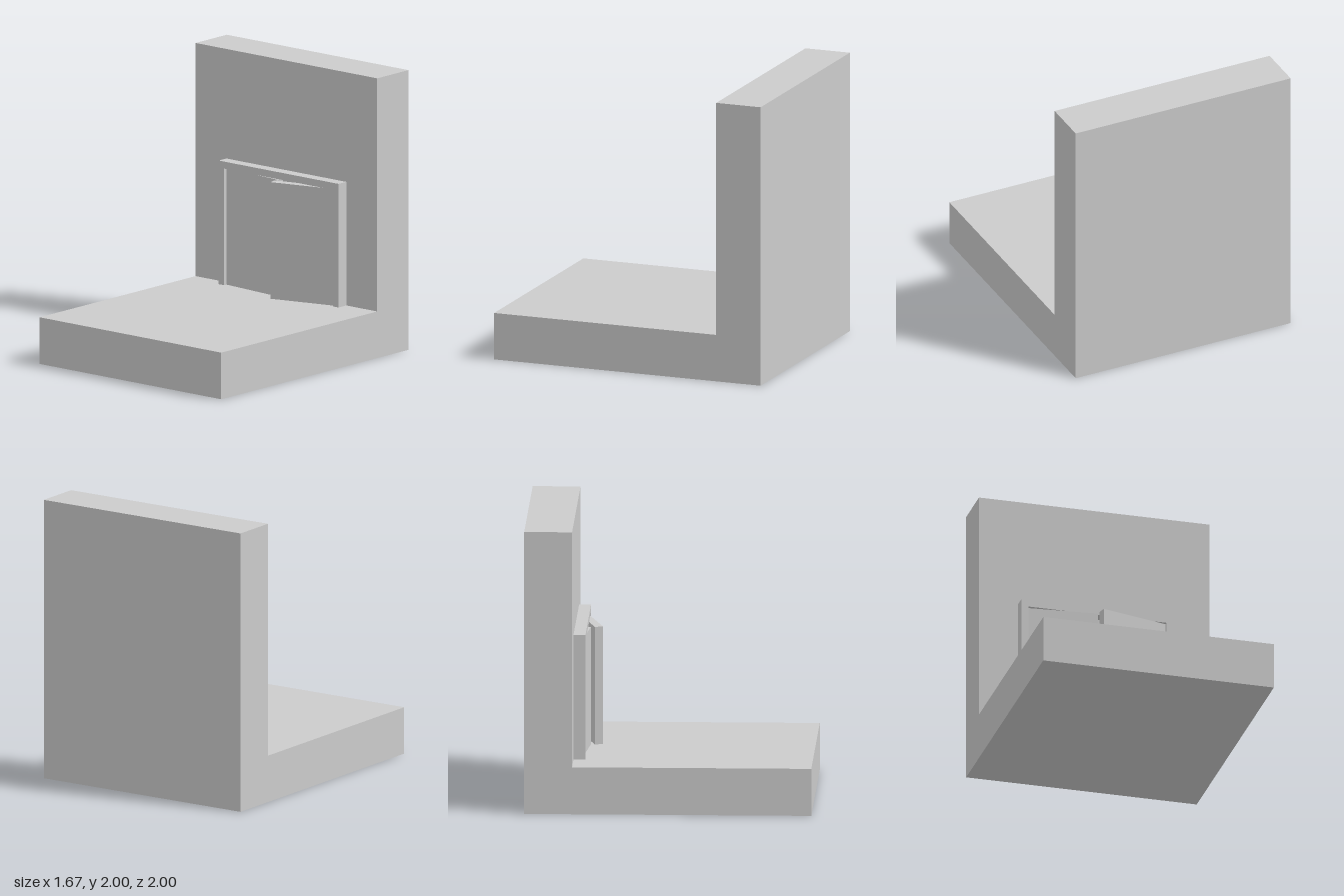
import * as THREE from 'three';

const FLOOR = 1 / 3;          // top of the floor slab
const WALL_FRONT = -2 / 3;    // front face of the wall

export function createModel() {
  const model = new THREE.Group();
  model.name = 'doorwayScene';
  const material = new THREE.MeshStandardMaterial({ color: 0xcccccc, flatShading: true });

  // Floor slab and back wall share one L-shaped section, extruded across x
  const section = new THREE.Shape([
    [-1, 0], [1, 0], [1, 2], [-WALL_FRONT, 2], [-WALL_FRONT, FLOOR], [-1, FLOOR],
  ].map(([x, y]) => new THREE.Vector2(x, y)));
  const width = 5 / 3;
  const slabGeometry = new THREE.ExtrudeGeometry(section, { depth: width, bevelEnabled: false });
  slabGeometry.translate(0, 0, -width / 2).rotateY(Math.PI / 2);
  const slab = new THREE.Mesh(slabGeometry, material);
  slab.name = 'floorAndWall';
  model.add(slab);

  // Door frame: two posts and a lintel as one arch
  const frameShape = new THREE.Shape([
    [-0.55, FLOOR], [-0.5, FLOOR], [-0.5, 1.167], [0.5, 1.167],
    [0.5, FLOOR], [0.55, FLOOR], [0.55, 1.217], [-0.55, 1.217],
  ].map(([x, y]) => new THREE.Vector2(x, y)));
  const frame = new THREE.Mesh(
    new THREE.ExtrudeGeometry(frameShape, { depth: 0.083, bevelEnabled: false }), material);
  frame.name = 'doorFrame';
  frame.position.z = WALL_FRONT;
  model.add(frame);

  // Door leaves, hinged on their outer front edge and swung open
  const addDoor = (name, side, degrees) => {
    const height = 1.167 - FLOOR;
    const geometry = new THREE.BoxGeometry(0.5, height, 0.06);
    geometry.translate(-side * 0.25, height / 2, -0.03);
    const door = new THREE.Mesh(geometry, material);
    door.name = name;
    door.position.set(side * 0.5, FLOOR, -0.609);
    door.rotation.y = side * THREE.MathUtils.degToRad(degrees);
    model.add(door);
  };
  addDoor('leftDoor', 1, 15);
  addDoor('rightDoor', -1, 5);

  return model;
}
